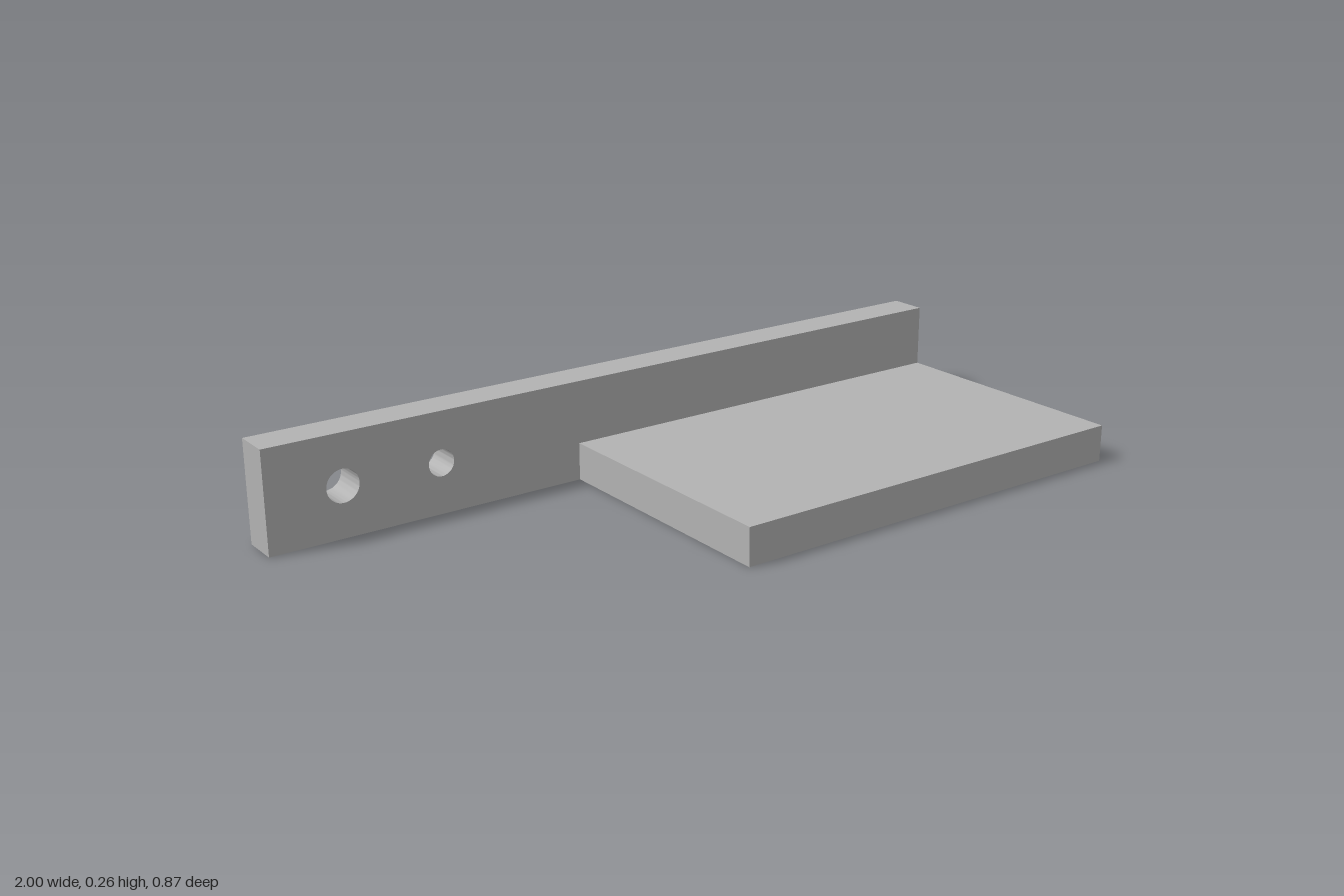
import * as THREE from 'three';
import { toCreasedNormals } from 'three/addons/utils/BufferGeometryUtils.js';

const PLATE_LEFT = -0.16, PLATE_TOP = 0.097, PLATE_HALF_DEPTH = 0.435;
const BAR_HEIGHT = 0.26, BAR_BACK = -0.352, BAR_DEPTH = 0.097;

export function createModel() {
  const model = new THREE.Group();
  model.name = 'mountingBracket';
  const grey = new THREE.MeshStandardMaterial({ color: 0xb2b2b2 });
  grey.name = 'plain grey';

  // Flat rectangular base plate
  const width = 1 - PLATE_LEFT;
  const plate = new THREE.Mesh(
    new THREE.BoxGeometry(width, PLATE_TOP, PLATE_HALF_DEPTH * 2), grey);
  plate.name = 'basePlate';
  plate.position.set(PLATE_LEFT + width / 2, PLATE_TOP / 2, 0);
  model.add(plate);

  // Long upright bar, notched to sit on the plate
  const profile = new THREE.Shape([
    [-1, 0], [PLATE_LEFT, 0], [PLATE_LEFT, PLATE_TOP],
    [1, PLATE_TOP], [1, BAR_HEIGHT], [-1, BAR_HEIGHT],
  ].map(([x, y]) => new THREE.Vector2(x, y)));

  // Two through holes in the free end, the outer one larger
  for (const [x, radius] of [[-0.807, 0.042], [-0.55, 0.034]]) {
    profile.holes.push(new THREE.Path().absarc(x, BAR_HEIGHT / 2, radius, 0, Math.PI * 2, true));
  }

  const barGeometry = new THREE.ExtrudeGeometry(profile, {
    depth: BAR_DEPTH, bevelEnabled: false, curveSegments: 32,
  });
  const bar = new THREE.Mesh(toCreasedNormals(barGeometry, Math.PI / 6), grey);
  bar.name = 'uprightBar';
  bar.position.z = BAR_BACK;
  model.add(bar);

  return model;
}
